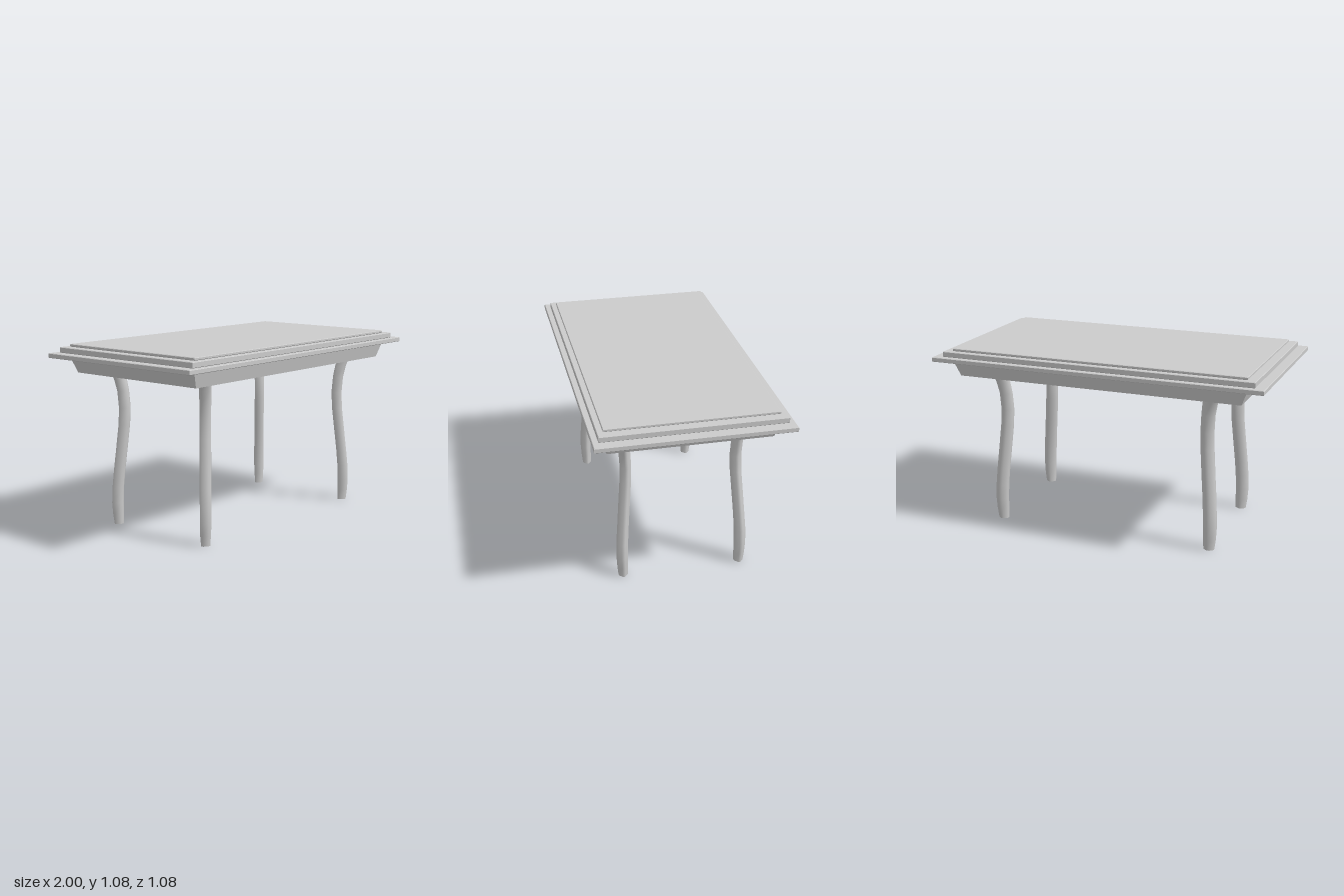
import * as THREE from 'three';
import { toCreasedNormals } from 'three/addons/utils/BufferGeometryUtils.js';

const material = new THREE.MeshStandardMaterial({ color: 0xcccccc });

// Closed solid through rings of [x, y, z] points, listed bottom to top
function loft(rings, crease) {
  const n = rings[0].length, index = [];
  for (let r = 0; r < rings.length - 1; r++) {
    for (let i = 0; i < n; i++) {
      const a = r * n + i, b = r * n + (i + 1) % n;
      index.push(a, a + n, b, b, a + n, b + n);
    }
  }
  const last = (rings.length - 1) * n;
  for (let i = 1; i < n - 1; i++) {
    index.push(0, i, i + 1, last, last + i + 1, last + i);
  }
  const geometry = new THREE.BufferGeometry();
  geometry.setAttribute('position', new THREE.Float32BufferAttribute(rings.flat(2), 3));
  geometry.setIndex(index);
  return toCreasedNormals(geometry, crease);
}

// Rectangular ring
const rect = (hx, y, hz) => [[hx, y, hz], [-hx, y, hz], [-hx, y, -hz], [hx, y, -hz]];

// Diagonally set square ring with its corners cut off
function diamond(cx, y, cz, rx, rz) {
  const k = 0.28;
  const corners = [[1, -k], [1, k], [k, 1], [-k, 1], [-1, k], [-1, -k], [-k, -1], [k, -1]];
  return corners.map(([x, z]) => [cx + rx * x, y, cz + rz * z]);
}

function add(group, name, geometry) {
  const mesh = new THREE.Mesh(geometry, material);
  mesh.name = name;
  group.add(mesh);
}

export function createModel() {
  const table = new THREE.Group();
  table.name = 'table';

  // Three stepped tiers of the top with softened edges: half width, half depth, bottom, top
  const tiers = [
    ['topLowerTier', 1, 0.542, 1.009, 1.036],
    ['topMiddleTier', 0.943, 0.51, 1.036, 1.068],
    ['topUpperTier', 0.893, 0.478, 1.068, 1.084],
  ];
  const b = 0.003;
  for (const [name, hx, hz, y0, y1] of tiers) {
    add(table, name, loft([
      rect(hx - b, y0, hz - b), rect(hx, y0 + b, hz),
      rect(hx, y1 - b, hz), rect(hx - b, y1, hz - b),
    ], 0.6));
  }

  // Sloped apron under the top
  add(table, 'apron', loft([rect(0.858, 0.918, 0.456), rect(0.895, 1.01, 0.478)], 0.6));

  // Curved legs: height, centre x, centre z, half width, half depth
  const legStations = [
    [0, 0.664, 0.345, 0.031, 0.026],
    [0.06, 0.667, 0.347, 0.036, 0.03],
    [0.13, 0.668, 0.349, 0.039, 0.032],
    [0.22, 0.665, 0.347, 0.039, 0.032],
    [0.32, 0.658, 0.34, 0.039, 0.031],
    [0.45, 0.646, 0.33, 0.039, 0.031],
    [0.6, 0.633, 0.318, 0.039, 0.031],
    [0.7, 0.629, 0.315, 0.039, 0.031],
    [0.8, 0.634, 0.321, 0.039, 0.031],
    [0.87, 0.645, 0.331, 0.042, 0.032],
    [0.925, 0.661, 0.344, 0.045, 0.033],
  ];
  for (const [x, side] of [[1, 'Left'], [-1, 'Right']]) {
    for (const [z, end] of [[1, 'front'], [-1, 'back']]) {
      const rings = legStations.map(([y, cx, cz, rx, rz]) => diamond(x * cx, y, z * cz, rx, rz));
      add(table, `${end}${side}Leg`, loft(rings, 1));
    }
  }
  return table;
}
